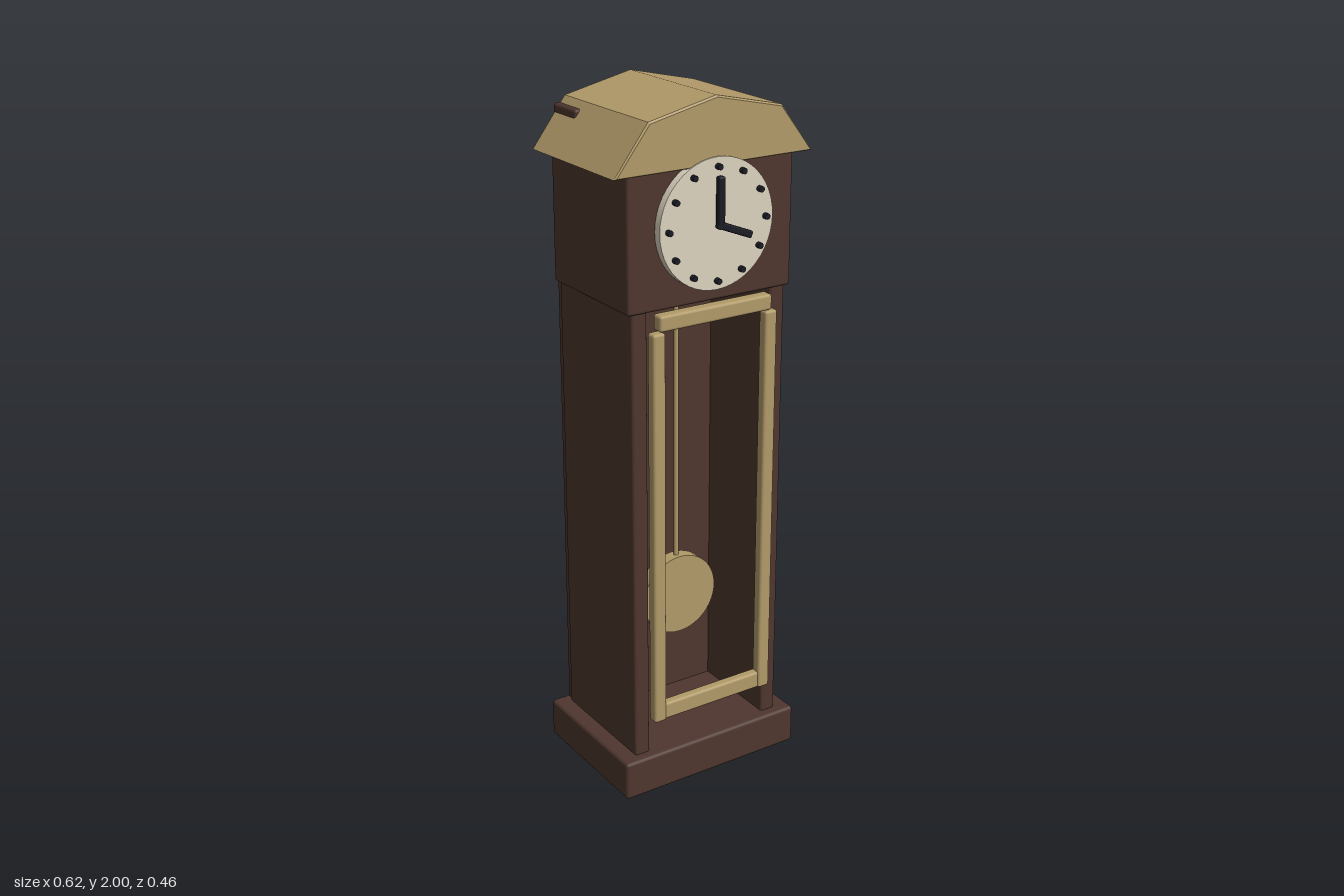
import * as THREE from 'three';
import { RoundedBoxGeometry } from 'three/addons/geometries/RoundedBoxGeometry.js';

const mat = (name, color) => {
  const m = new THREE.MeshStandardMaterial({ color });
  m.name = name;
  return m;
};

export function createModel() {
  const wood = mat('dark wood', 0x4e362e);
  const brass = mat('pale brass', 0xb19a69);
  const cream = mat('cream dial', 0xdcd3bf);
  const black = mat('blue black', 0x1b1c24);
  const clock = new THREE.Group();
  clock.name = 'longcaseClock';

  const add = (name, geometry, material, parent = clock) => {
    const mesh = new THREE.Mesh(geometry, material);
    mesh.name = name;
    parent.add(mesh);
    return mesh;
  };
  // Softly bevelled box given by its extents
  const box = (name, [x0, x1], [y0, y1], [z0, z1], material, r = 0.008) => {
    const mesh = add(name, new RoundedBoxGeometry(x1 - x0, y1 - y0, z1 - z0, 2, r), material);
    mesh.position.set((x0 + x1) / 2, (y0 + y1) / 2, (z0 + z1) / 2);
    return mesh;
  };
  // Disc facing the front
  const disc = (name, r, z0, z1, x, y, material, sides, parent) => {
    const g = new THREE.CylinderGeometry(r, r, z1 - z0, sides).rotateX(Math.PI / 2);
    add(name, g, material, parent).position.set(x, y, (z0 + z1) / 2);
  };

  // Case: plinth, thick back reaching into the roof, hood
  box('plinth', [-0.295, 0.295], [0, 0.118], [-0.23, 0.205], wood, 0.01);
  box('backBlock', [-0.238, 0.238], [0.11, 1.935], [-0.227, -0.11], wood);
  box('hood', [-0.26, 0.26], [1.45, 1.86], [-0.204, 0.18], wood);

  // Side walls and door stiles, mirrored
  for (const s of [-1, 1]) {
    const span = (a, b) => (s > 0 ? [a, b] : [-b, -a]);
    const side = s > 0 ? 'left' : 'right';
    box(side + 'Wall', span(0.198, 0.246), [0.112, 1.46], [-0.2, 0.174], wood);
    box(side + 'DoorStile', span(0.161, 0.2), [0.225, 1.397], [0.174, 0.208], brass);
  }
  box('topDoorRail', [-0.18, 0.18], [1.4, 1.445], [0.172, 0.21], brass);
  box('bottomDoorRail', [-0.168, 0.168], [0.226, 0.278], [0.174, 0.204], brass);

  // Roof with a broken gable profile
  const profile = new THREE.Shape([
    [-0.308, 1.82], [0.308, 1.82], [0.206, 1.954], [0, 2], [-0.206, 1.954],
  ].map(([x, y]) => new THREE.Vector2(x, y)));
  const bevel = 0.005;
  const roof = new THREE.ExtrudeGeometry(profile, {
    depth: 0.422 - 2 * bevel, bevelEnabled: true, bevelSegments: 1,
    bevelThickness: bevel, bevelSize: bevel, bevelOffset: -bevel,
  });
  add('roof', roof, brass).position.z = -0.222 + bevel;

  // Pendulum
  const pendulum = new THREE.Group();
  pendulum.name = 'pendulum';
  clock.add(pendulum);
  const rod = add('pendulumRod', new THREE.CylinderGeometry(0.007, 0.007, 0.96, 12), brass, pendulum);
  rod.position.set(0, 0.98, 0.01);
  disc('pendulumBob', 0.122, -0.01, 0.03, 0, 0.508, brass, 48, pendulum);

  // Dial with twelve hour studs
  const dial = new THREE.Group();
  dial.name = 'dial';
  clock.add(dial);
  const cy = 1.665;
  disc('dialFace', 0.178, 0.17, 0.204, 0, cy, cream, 48, dial);
  for (let i = 0; i < 12; i++) {
    const a = (i * Math.PI) / 6;
    disc('hourStud', 0.0085, 0.2, 0.218, 0.153 * Math.sin(a), cy + 0.153 * Math.cos(a), black, 10, dial);
  }

  // Hands pivot at the dial centre
  const hand = (name, length, width, angle) => {
    const g = new RoundedBoxGeometry(width, length, 0.02, 2, 0.005);
    g.translate(0, length / 2 - 0.01, 0);
    const mesh = add(name, g, black, dial);
    mesh.position.set(0, cy, 0.219);
    mesh.rotation.z = angle;
  };
  hand('minuteHand', 0.14, 0.02, 0);
  hand('hourHand', 0.115, 0.02, -1.95);

  return clock;
}
